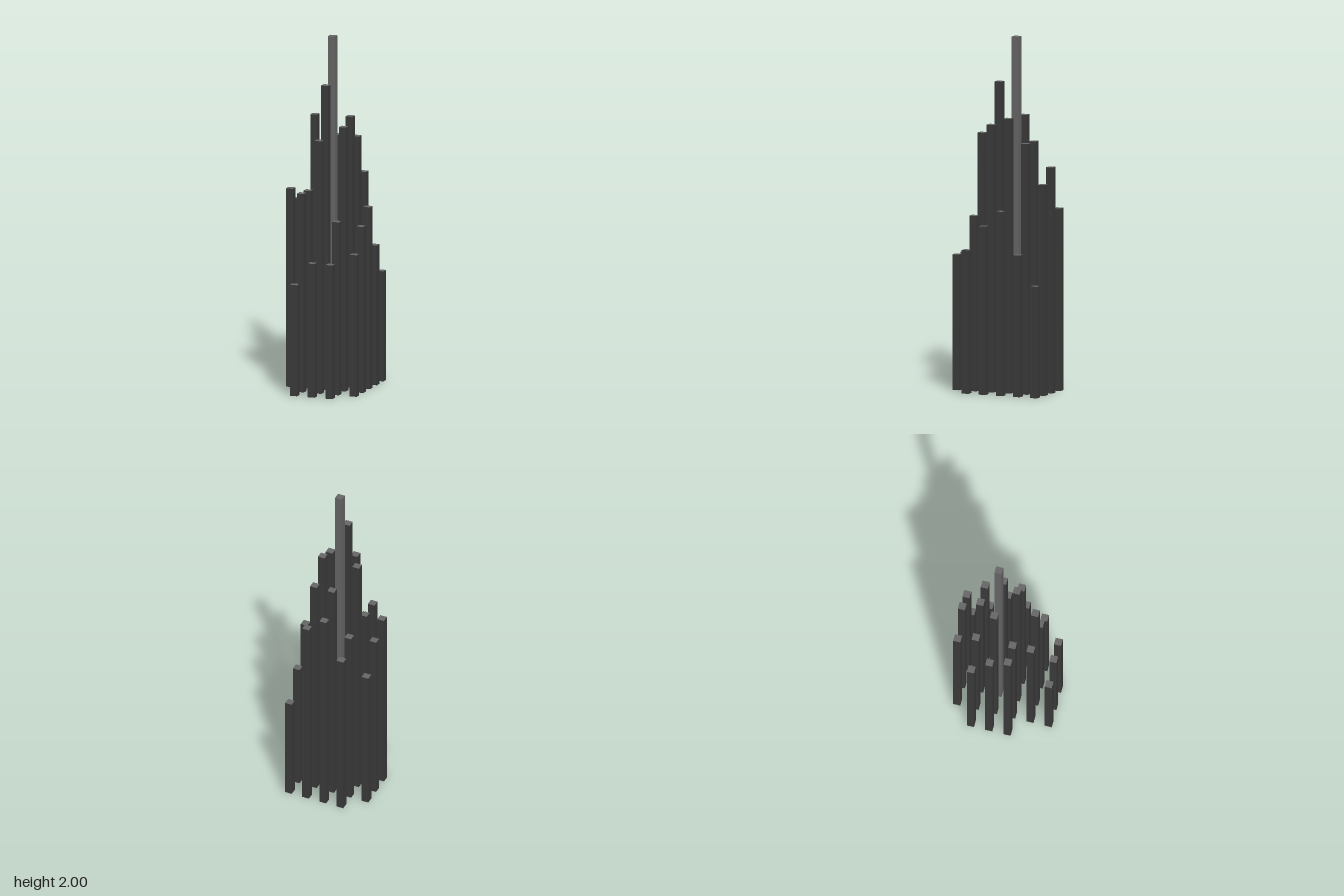
import * as THREE from 'three';

const PITCH = 0.1054; // spacing between pillars
const WIDTH = 0.041; // square pillar section

// Pillar heights: rows run back to front, columns left to right in x (0 = no pillar)
const HEIGHTS = [
  [0, 1.03, 1.275, 1.19, 0.63],
  [0.875, 1.12, 1.415, 1.415, 0.8],
  [1.055, 1.545, 2.0, 1.55, 1.04],
  [1.135, 1.13, 1.74, 1.51, 0.95],
  [0, 1.135, 1.445, 0.99, 0.81],
  [0, 0.635, 0.765, 0.765, 0],
];

export function createModel() {
  const model = new THREE.Group();
  model.name = 'pillarCluster';

  const dark = new THREE.MeshStandardMaterial({ color: 0x3a3a3a });
  dark.name = 'charcoal';
  const grey = new THREE.MeshStandardMaterial({ color: 0x666666 });
  grey.name = 'midGrey';

  // Box face order is +x, -x, +y, -y, +z, -z: only the top is grey
  const cappedPillar = [dark, dark, grey, dark, dark, dark];

  HEIGHTS.forEach((row, r) => {
    row.forEach((height, c) => {
      if (!height) return;
      const isSpire = height === 2;
      const pillar = new THREE.Mesh(
        new THREE.BoxGeometry(WIDTH, height, WIDTH),
        isSpire ? grey : cappedPillar
      );
      pillar.name = isSpire ? 'centralSpire' : `pillarRow${r + 1}Column${c + 1}`;
      pillar.position.set((c - 2) * PITCH, height / 2, (r - 2.5) * PITCH);
      model.add(pillar);
    });
  });

  return model;
}
